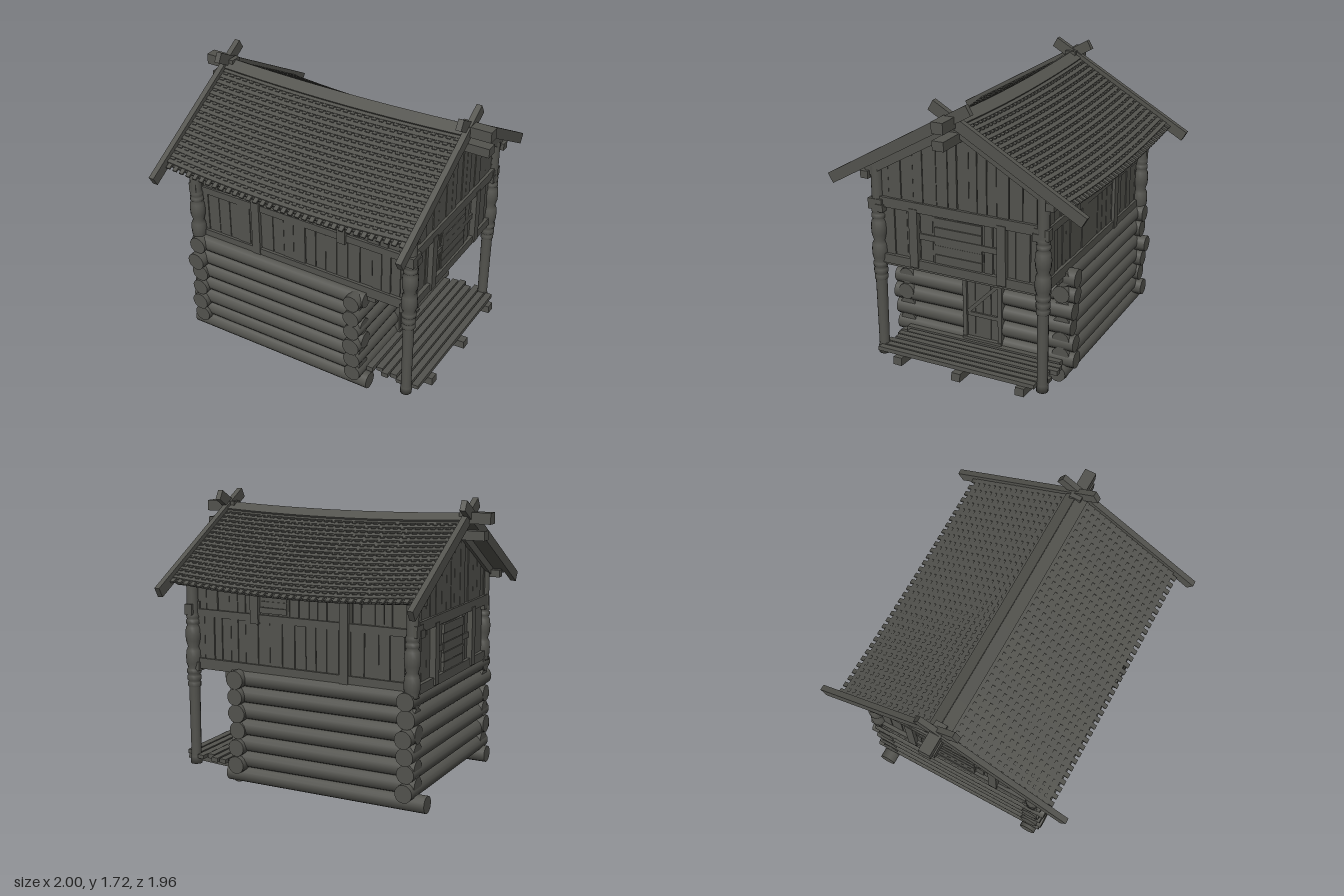
import * as THREE from 'three';
import { mergeGeometries } from 'three/addons/utils/BufferGeometryUtils.js';

const SLOPE = 0.575, PITCH = Math.atan(SLOPE), APEX = 1.625;

export function createModel() {
  const wood = new THREE.MeshStandardMaterial({ color: 0x53534e });
  wood.name = 'weatheredWood';
  const model = new THREE.Group();
  model.name = 'storehouse';
  const house = new THREE.Group();
  house.name = 'house';
  house.rotation.y = 0.245;
  model.add(house);

  let seed = 7;
  const rnd = () => (seed = (seed * 16807) % 2147483647) / 2147483647;
  const jit = (a) => (rnd() - 0.5) * 2 * a;
  const add = (name, geos, parent = house) => {
    const mesh = new THREE.Mesh(mergeGeometries([geos].flat()), wood);
    mesh.name = name;
    parent.add(mesh);
    return mesh;
  };
  // box given by its extents
  const box = (x0, x1, y0, y1, z0, z1) =>
    new THREE.BoxGeometry(x1 - x0, y1 - y0, z1 - z0).translate((x0 + x1) / 2, (y0 + y1) / 2, (z0 + z1) / 2);
  // round log between two coordinates along x or z, slightly uneven
  const log = (axis, a, b, y, across, r) => {
    const g = new THREE.CylinderGeometry(r * (1 + jit(0.06)), r * (1 + jit(0.06)), b - a, 14, 1);
    if (axis === 'x') return g.rotateZ(Math.PI / 2).translate((a + b) / 2, y, across);
    return g.rotateX(Math.PI / 2).translate(across, y, (a + b) / 2);
  };

  // log room: long walls, then the crossing end walls
  const room = new THREE.Group();
  room.name = 'logRoom';
  room.position.set(-0.008, 0, 0.013);
  house.add(room);
  const long = [], cross = [], doorWall = [];
  for (const s of [-1, 1]) {
    for (let i = 0; i < 7; i++) {
      const e = i ? 0 : 0.03;
      long.push(log('x', -0.735 - e + jit(0.02), 0.475 + e + jit(0.015), 0.053 + 0.1 * i, s * 0.52, 0.053));
    }
  }
  for (let i = 0; i < 6; i++) {
    const y = 0.125 + i * 0.105;
    cross.push(log('z', -0.605 + jit(0.025), 0.6 + jit(0.02), y, -0.675, 0.054));
    doorWall.push(log('z', 0.11, 0.595 + jit(0.02), y, 0.43, 0.054));
    doorWall.push(log('z', -0.595 + jit(0.02), -0.13, y, 0.43, 0.054));
  }
  doorWall.push(log('z', -0.55, -0.16, 0.045, 0.45, 0.044));
  add('longLogWalls', long, room);
  add('endLogWall', cross, room);
  add('doorLogWall', doorWall, room);

  // plank door with frame and braces
  const door = [box(0.44, 0.485, 0.14, 0.66, -0.13, -0.105), box(0.44, 0.485, 0.14, 0.66, 0.105, 0.13),
    box(0.44, 0.485, 0.64, 0.67, -0.13, 0.13), box(0.43, 0.495, 0.11, 0.15, -0.13, 0.13)];
  for (let i = 0; i < 4; i++) {
    const z = -0.105 + i * 0.0525;
    door.push(box(0.44, 0.468 + jit(0.002), 0.15, 0.64, z + 0.001, z + 0.0515));
  }
  for (const y of [0.29, 0.53]) door.push(box(0.46, 0.48, y, y + 0.025, -0.1, 0.1));
  door.push(new THREE.BoxGeometry(0.018, 0.022, 0.28).rotateX(0.8).translate(0.472, 0.415, 0));
  add('door', door);

  // porch, rising slightly outwards: joists and loose deck boards
  const porch = new THREE.Group();
  porch.name = 'porch';
  porch.position.set(0.45, 0, 0);
  porch.rotation.z = 0.05;
  house.add(porch);
  const joists = [-0.43, -0.03, 0.37].map((z) => box(-0.03, 0.42 + jit(0.01), 0.05, 0.1, z - 0.028, z + 0.028));
  add('porchJoists', joists, porch);
  const deck = [];
  for (let i = 0; i < 7; i++) {
    const x = 0.03 + i * 0.052;
    deck.push(box(x, x + 0.042, 0.1, 0.128 + jit(0.004), -0.53 + jit(0.03), 0.5 + jit(0.03)));
  }
  add('porchDeck', deck, porch);

  // carved corner posts: tall ones on the porch, short ones on the logs
  const carved = [[0.034, 0.56], [0.04, 0.565], [0.04, 0.59], [0.033, 0.595], [0.042, 0.605], [0.042, 0.63],
    [0.034, 0.638], [0.044, 0.65], [0.044, 0.67], [0.036, 0.68], [0.046, 0.71], [0.048, 0.75], [0.044, 0.79],
    [0.034, 0.81], [0.046, 0.85], [0.048, 0.89], [0.044, 0.93], [0.034, 0.945], [0.042, 0.955], [0.042, 0.975],
    [0.034, 0.98], [0.04, 0.99], [0.04, 1.01], [0.035, 1.02], [0.035, 1.27]];
  for (const s of [-1, 1]) {
    const tall = [[0, 0.075], [0.035, 0.075], [0.035, 0.12], [0.031, 0.13], ...carved];
    const short = [[0, 0.66], ...carved.filter((p) => p[1] > 0.66)];
    const lathe = (p) => new THREE.LatheGeometry(p.map(([r, y]) => new THREE.Vector2(r, y)), 14);
    add('porchPost', lathe(tall)).position.set(0.752, 0, s * 0.525);
    add('rearPost', lathe(short)).position.set(-0.705, 0, s * 0.54);
  }

  // upper floor, seen from below as boards over two cross beams
  const floor = [box(0.46, 0.53, 0.64, 0.7, -0.52, 0.52), box(0.7, 0.76, 0.665, 0.72, -0.55, 0.55)];
  for (let i = 0; i < 12; i++) {
    const z = -0.5 + i / 12;
    floor.push(box(-0.7, 0.72, 0.695 + jit(0.003), 0.72, z + 0.002, z + 0.081));
  }
  add('upperFloor', floor);

  // upright board whose top follows a roof line
  const board = (u0, u1, y0, top, z0, z1) => {
    const g = new THREE.BoxGeometry(u1 - u0, 1, z1 - z0, 2, 1, 1).translate((u0 + u1) / 2, 0, (z0 + z1) / 2);
    const p = g.attributes.position;
    for (let i = 0; i < p.count; i++) p.setY(i, p.getY(i) > 0 ? top(p.getX(i)) : y0);
    return g;
  };
  const boards = (u0, u1, y0, top, z) => {
    const out = [board(u0, u1, y0, top, z - 0.025, z)];
    for (let u = u0; u < u1 - 0.02;) {
      const end = Math.min(u1, u + 0.07 + jit(0.02));
      out.push(board(u + 0.002, end - 0.002, y0, top, z - 0.005, z + 0.014 + jit(0.004)));
      u = end;
    }
    return out;
  };
  const wallGroup = (name, x, z, turn) => {
    const g = new THREE.Group();
    g.name = name;
    g.position.set(x, 0, z);
    g.rotation.y = turn;
    house.add(g);
    return g;
  };

  // long plank walls
  for (const s of [1, -1]) {
    const g = wallGroup(s > 0 ? 'frontWall' : 'backWall', 0, s * 0.5, s > 0 ? 0 : Math.PI);
    const a = s > 0 ? -0.7 : -0.745, b = s > 0 ? 0.745 : 0.7;
    add('lowerPlanks', boards(a, b, 0.72, () => 1.01, 0.005), g);
    add('upperPlanks', boards(a, b, 1.02, () => 1.28, -0.005), g);
    const rails = [box(a, b, 0.68, 0.745, -0.03, 0.035), box(a - 0.04, b + 0.05, 1.0, 1.045, -0.03, 0.025)];
    for (const [u, y] of [[-0.28, 0.69], [0.31, 0.99]])
      rails.push(box(s * u - 0.027, s * u + 0.027, y, 1.26, -0.03, 0.04));
    // beam heads clasping the corner posts
    for (const u of [a - 0.01, b + 0.02]) rails.push(box(u - 0.025, u + 0.025, 1.01, 1.075, -0.02, 0.07));
    add('rails', rails, g);
    const hatch = [];
    for (let i = 0; i < 3; i++)
      hatch.push(box(s * 0.19 - 0.09, s * 0.19 + 0.09, 1.055 + i * 0.036, 1.089 + i * 0.036, -0.02, 0.02 + jit(0.004)));
    add('hatch', hatch, g);
  }

  // gable walls
  for (const s of [1, -1]) {
    const g = wallGroup(s > 0 ? 'porchGable' : 'rearGable', s > 0 ? 0.735 : -0.7, 0, s * Math.PI / 2);
    const line = (u) => APEX - 0.04 - SLOPE * Math.abs(u);
    add('gablePlanks', [...boards(-0.52, 0, 1.06, line, 0.01), ...boards(0, 0.52, 1.06, line, 0.01)], g);
    add('lowerPlanks', boards(-0.5, 0.5, 0.71, () => 1.04, 0), g);
    const rails = [box(-0.52, 0.52, 1.03, 1.09, -0.03, 0.04), box(-0.5, 0.5, 0.68, 0.735, -0.03, 0.035)];
    for (const u of [-0.28, 0.28]) rails.push(box(u - 0.027, u + 0.027, 0.69, 1.05, -0.02, 0.045));
    rails.push(box(-0.25, 0.25, 0.865, 0.9, -0.02, 0.024));
    add('rails', rails, g);
    const shutter = [];
    for (let i = 0; i < 5; i++)
      shutter.push(box(-0.15, 0.15, 0.737 + i * 0.056, 0.79 + i * 0.056, -0.01, 0.026 + jit(0.005)));
    add('shutter', shutter, g);
    // rafters against the gable, just under the roof
    for (const t of [-1, 1]) {
      const rafter = new THREE.BoxGeometry(0.66, 0.05, 0.04).rotateZ(-t * PITCH);
      add('gableRafter', rafter, g).position.set(t * 0.29, APEX - 0.065 - SLOPE * 0.29, 0.025);
    }
  }

  // sagging roof: underlay, long overlapping courses and toothed shingle tips
  const HALF = 0.8, ROWS = 18, STEP = 0.66 / ROWS, TILT = 0.2;
  const sag = (x, z) => (0.02 + 0.03 * Math.abs(z)) * ((x / HALF) ** 2 - 1);
  const strip = (thick, deep, tilt, y, z) => {
    const g = new THREE.BoxGeometry(2 * HALF, thick, deep, 16, 1, 1).rotateX(tilt).translate(0, y, z);
    const p = g.attributes.position;
    for (let i = 0; i < p.count; i++) p.setY(i, p.getY(i) + sag(p.getX(i), p.getZ(i)));
    return g;
  };
  for (const s of [-1, 1]) {
    add('roofUnderlay', strip(0.02, 0.66 / Math.cos(PITCH), s * PITCH, APEX - 0.022 - SLOPE * 0.33, s * 0.33));
    const courses = [], tips = [], cols = 34, w = (2 * HALF) / cols;
    for (let r = 0; r < ROWS; r++) {
      const z = (r + 0.5) * STEP, zt = z + STEP * 0.75, last = r === ROWS - 1;
      courses.push(strip(0.012, STEP * 1.4, s * (PITCH - TILT), APEX - SLOPE * z, s * z));
      for (let c = 0; c < cols; c++) {
        const x = -HALF + (c + (r % 2 ? 0.5 : 0.45)) * w;
        tips.push(new THREE.BoxGeometry(w * 0.58, 0.012, last ? 0.055 : 0.022)
          .rotateX(s * (PITCH - (last ? 0.05 : TILT)))
          .translate(x, APEX - SLOPE * zt + sag(x, zt) + (last ? 0 : 0.004), s * zt));
      }
    }
    add('shingleCourses', courses);
    add('shingleTips', tips);
    add('ridgeCap', strip(0.012, 0.075, s * PITCH, APEX - 0.004, s * 0.031));
  }

  // ridge pole ends, ridge beam and eave plates
  const beams = [box(-0.915, 0.955, 1.49, 1.545, -0.035, 0.035)];
  for (const s of [-1, 1]) {
    beams.push(box(s < 0 ? -0.95 : 0.76, s < 0 ? -0.76 : 0.96, 1.585, 1.65, -0.035, 0.035));
    beams.push(box(-0.8, 0.8, 1.195, 1.24, s * 0.58 - 0.025, s * 0.58 + 0.025));
  }
  add('roofBeams', beams);

  // bargeboards crossing above the ridge
  for (const e of [-1, 1]) {
    for (const s of [-1, 1]) {
      const b = add('bargeboard', new THREE.BoxGeometry(0.034, 0.065, 0.905 / Math.cos(PITCH)));
      b.position.set(e * (s > 0 ? 0.817 : 0.805), APEX + 0.002 - SLOPE * 0.335, s * 0.335);
      b.rotation.x = s * PITCH;
    }
  }
  return model;
}
